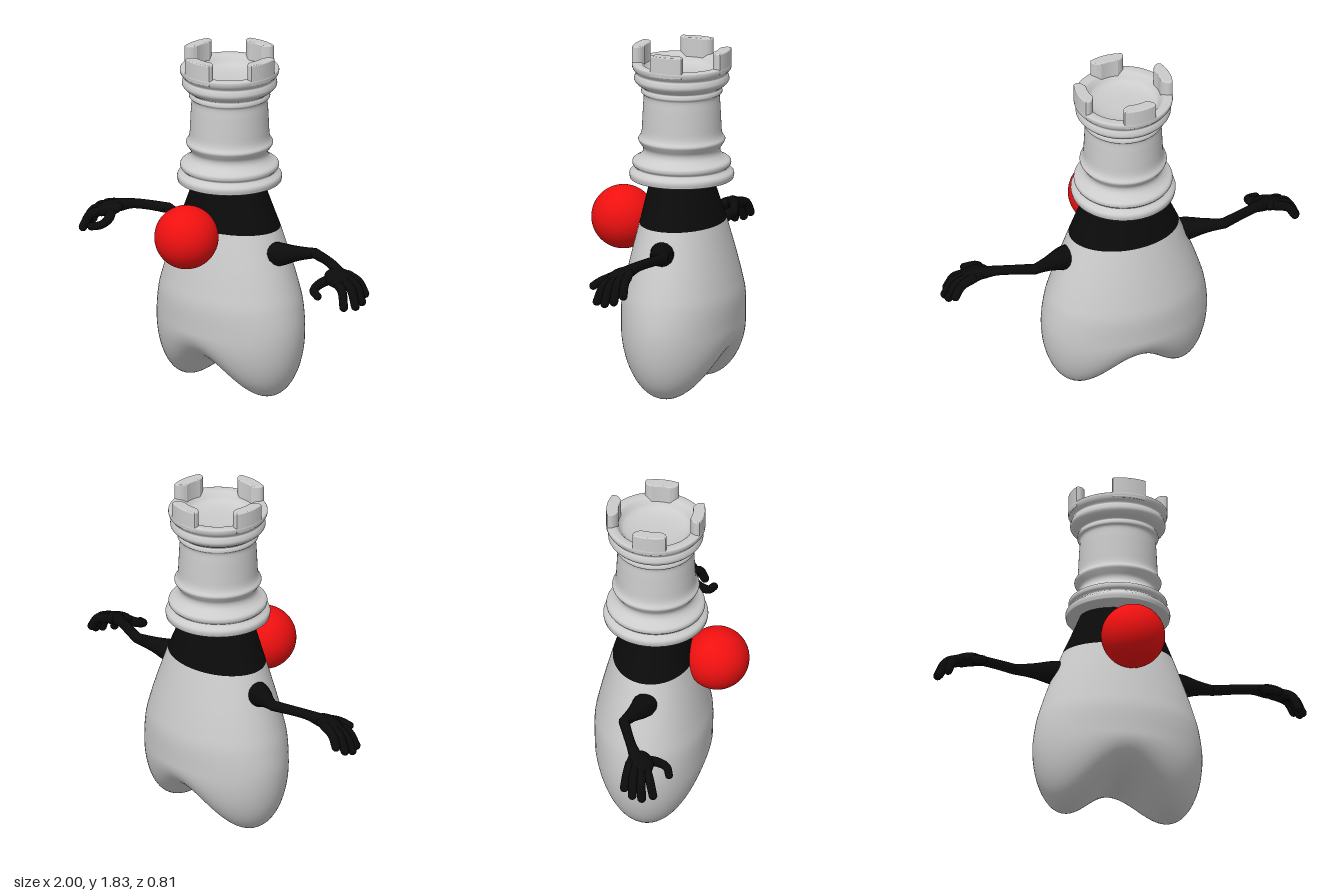
import * as THREE from 'three';
import { mergeGeometries } from 'three/addons/utils/BufferGeometryUtils.js';

const V = (x, y, z) => new THREE.Vector3(x, y, z);
const grey = new THREE.MeshStandardMaterial({ color: 0xcccccc });
const black = new THREE.MeshStandardMaterial({ color: 0x0b0b0b });
const red = new THREE.MeshStandardMaterial({ color: 0xf01010 });

function mesh(name, geometry, material) {
  const m = new THREE.Mesh(geometry, material);
  m.name = name;
  return m;
}

// Skin over closed rings of points, listed from top to bottom
function skin(rings) {
  const n = rings[0].length, pos = [], index = [];
  rings.forEach(ring => ring.forEach(p => pos.push(p.x, p.y, p.z)));
  for (let i = 0; i < rings.length - 1; i++) {
    for (let j = 0; j < n; j++) {
      const k = (j + 1) % n, a = i * n, b = a + n;
      index.push(a + j, a + k, b + j, a + k, b + k, b + j);
    }
  }
  const g = new THREE.BufferGeometry();
  g.setAttribute('position', new THREE.Float32BufferAttribute(pos, 3));
  g.setIndex(index);
  g.computeVertexNormals();
  return g;
}

// Torso sections: height, half width, half depth, centre z
const SECTIONS = [
  [0.35, 0.452, 0.305, -0.097], [0.5, 0.434, 0.306, -0.097], [0.6, 0.406, 0.288, -0.097],
  [0.7, 0.373, 0.266, -0.096], [0.8, 0.336, 0.242, -0.095], [0.9, 0.298, 0.216, -0.094],
  [1.0, 0.255, 0.19, -0.09], [1.14, 0.196, 0.153, -0.085],
];
const SEG = 72, [BASE, HALF_W, HALF_D, MID_Z] = SECTIONS[0];

function section(y) {
  let i = 0;
  while (i < SECTIONS.length - 2 && y > SECTIONS[i + 1][0]) i++;
  const at = k => SECTIONS[Math.min(Math.max(k, 0), SECTIONS.length - 1)];
  const [p, q] = [at(i), at(i + 1)], h = q[0] - p[0], t = (y - p[0]) / h;
  // Cubic Hermite, starting vertical at the widest section
  return [1, 2, 3].map(c => {
    const slope = k => (k === 0 ? 0 : (at(k + 1)[c] - at(k - 1)[c]) / (at(k + 1)[0] - at(k - 1)[0]));
    const t2 = t * t, t3 = t2 * t;
    return (2 * t3 - 3 * t2 + 1) * p[c] + (t3 - 2 * t2 + t) * h * slope(i)
      + (3 * t2 - 2 * t3) * q[c] + (t3 - t2) * h * slope(i + 1);
  });
}

function loop(fn) {
  return Array.from({ length: SEG }, (_, j) => fn((j / SEG) * Math.PI * 2));
}

function torsoRings(top, bottom, count) {
  return Array.from({ length: count + 1 }, (_, i) => {
    const y = top + (bottom - top) * (i / count), [a, b, cz] = section(y);
    return loop(t => V(a * Math.cos(t), y, cz + b * Math.sin(t)));
  });
}

// Lower outline: arch in the middle, a rounded foot on each side
function underside(x) {
  const u = Math.abs(x), foot = 0.28;
  if (u < foot) return 0.075 * (1 + Math.cos(Math.PI * u / foot));
  const s = Math.min((u - foot) / (HALF_W - foot), 1);
  return BASE * (1 - Math.sqrt(1 - s * s));
}

function legRings(count) {
  return Array.from({ length: count }, (_, i) => {
    const r = Math.cos(((i + 1) / count) * Math.PI / 2);
    return loop(t => {
      const x = HALF_W * r * Math.cos(t), dz = HALF_D * r * Math.sin(t);
      const depth = HALF_D * Math.sqrt(Math.max(1 - (x / HALF_W) ** 2, 1e-6));
      const q = Math.min(Math.abs(dz) / depth, 1), low = underside(x);
      return V(x, low + (BASE - low) * (1 - Math.sqrt(1 - q * q)), MID_Z + dz);
    });
  });
}

// Round-ended tube through points [x, y, z, radius]
function limb(points, side, steps = 20, radial = 14) {
  const path = new THREE.CatmullRomCurve3(points.map(p => V(p[0] * side, p[1], p[2])));
  const g = new THREE.TubeGeometry(path, steps, 1, radial), pos = g.attributes.position;
  const v = V(0, 0, 0), radii = new THREE.SplineCurve(points.map((p, i) => new THREE.Vector2(i, p[3])));
  for (let i = 0; i <= steps; i++) {
    const c = path.getPointAt(i / steps), r = radii.getPoint(path.getUtoTmapping(i / steps)).y;
    for (let j = 0; j <= radial; j++) {
      const k = i * (radial + 1) + j;
      v.fromBufferAttribute(pos, k).sub(c).multiplyScalar(r).add(c);
      pos.setXYZ(k, v.x, v.y, v.z);
    }
  }
  const caps = [points[0], points[points.length - 1]].map(([x, y, z, r]) =>
    new THREE.SphereGeometry(r, radial, 10).translate(x * side, y, z));
  return mergeGeometries([g, ...caps]);
}

function arm(side) {
  const g = new THREE.Group();
  g.name = side > 0 ? 'leftArm' : 'rightArm';
  g.add(mesh('upperArm', limb([
    [0.31, 0.785, -0.095, 0.066], [0.36, 0.793, -0.11, 0.06], [0.44, 0.808, -0.142, 0.04], [0.53, 0.822, -0.178, 0.028],
  ], side), black));
  g.add(mesh('forearm', limb([
    [0.53, 0.822, -0.178, 0.028], [0.64, 0.823, -0.142, 0.026], [0.73, 0.818, -0.108, 0.027], [0.8, 0.8, -0.075, 0.036],
  ], side), black));
  const palm = new THREE.SphereGeometry(1, 24, 16).scale(0.085, 0.036, 0.072)
    .rotateX(0.25).rotateZ(-0.25 * side).translate(0.83 * side, 0.785, -0.05);
  g.add(mesh('palm', palm, black));
  // Four fingers: root height and z, then tip x, y, z
  [[0.795, -0.1, 0.955, 0.715, -0.115], [0.79, -0.075, 0.975, 0.685, -0.07],
    [0.78, -0.045, 0.977, 0.672, -0.02], [0.77, -0.015, 0.945, 0.672, 0.035]].forEach(([y, z, tx, ty, tz]) => {
    g.add(mesh('finger', limb([
      [0.85, y, z, 0.026], [0.85 + (tx - 0.85) * 0.65, y - 0.025, z + (tz - z) * 0.55, 0.024], [tx, ty, tz, 0.023],
    ], side, 14, 12), black));
  });
  g.add(mesh('thumb', limb([
    [0.8, 0.785, -0.03, 0.028], [0.765, 0.757, 0.03, 0.025], [0.77, 0.735, 0.08, 0.022], [0.82, 0.72, 0.102, 0.021],
  ], side, 16, 12), black));
  return g;
}

// Turned castle tower with four battlements, standing on the collar
function tower() {
  const g = new THREE.Group();
  g.name = 'tower';
  g.position.z = -0.087;
  const profile = [
    [0, 1.125], [0.13, 1.125], [0.255, 1.125], [0.272, 1.137], [0.272, 1.162], [0.25, 1.18], [0.245, 1.19],
    [0.257, 1.203], [0.255, 1.225], [0.225, 1.243], [0.205, 1.265], [0.202, 1.29], [0.217, 1.315],
    [0.228, 1.337], [0.216, 1.358], [0.209, 1.385], [0.206, 1.44], [0.202, 1.52], [0.199, 1.575],
    [0.212, 1.59], [0.211, 1.605], [0.207, 1.618], [0.232, 1.635], [0.249, 1.658], [0.245, 1.682],
    [0.24, 1.695], [0.255, 1.715], [0.26, 1.735], [0.253, 1.746], [0.215, 1.745], [0.198, 1.73],
    [0.17, 1.7], [0.1, 1.685], [0, 1.682],
  ].map(([r, y]) => new THREE.Vector2(r, y));
  const pts = new THREE.SplineCurve(profile).getPoints(132);
  pts.forEach(p => { p.x = Math.max(p.x, 0); });
  g.add(mesh('towerBody', new THREE.LatheGeometry(pts, 72), grey));

  const half = 0.33, bevel = 0.006, shape = new THREE.Shape();
  const polar = (r, a) => [r * Math.cos(a), r * Math.sin(a)];
  shape.absarc(0, 0, 0.253, -half, half, false);
  shape.quadraticCurveTo(...polar(0.235, half + 0.06), ...polar(0.212, half - 0.03));
  shape.absarc(0, 0, 0.202, half - 0.1, -half + 0.1, true);
  shape.lineTo(...polar(0.212, -half + 0.03));
  shape.quadraticCurveTo(...polar(0.235, -half - 0.06), ...polar(0.253, -half));
  const block = new THREE.ExtrudeGeometry(shape, {
    depth: 0.103, bevelSize: bevel, bevelThickness: bevel, bevelSegments: 3, curveSegments: 14,
  }).rotateX(-Math.PI / 2).translate(0, 1.721, 0);
  for (let i = 0; i < 4; i++) {
    const m = mesh('battlement', block, grey);
    m.rotation.y = i * Math.PI / 2;
    g.add(m);
  }
  return g;
}

export function createModel() {
  const model = new THREE.Group();
  model.name = 'figure';
  model.add(mesh('body', skin([...torsoRings(0.9, BASE, 24), ...legRings(28)]), grey));
  model.add(mesh('collar', skin(torsoRings(1.14, 0.9, 10)), black));
  const nose = mesh('nose', new THREE.SphereGeometry(0.168, 48, 32), red);
  nose.position.set(0, 0.888, 0.238);
  model.add(nose, tower(), arm(1), arm(-1));
  return model;
}
